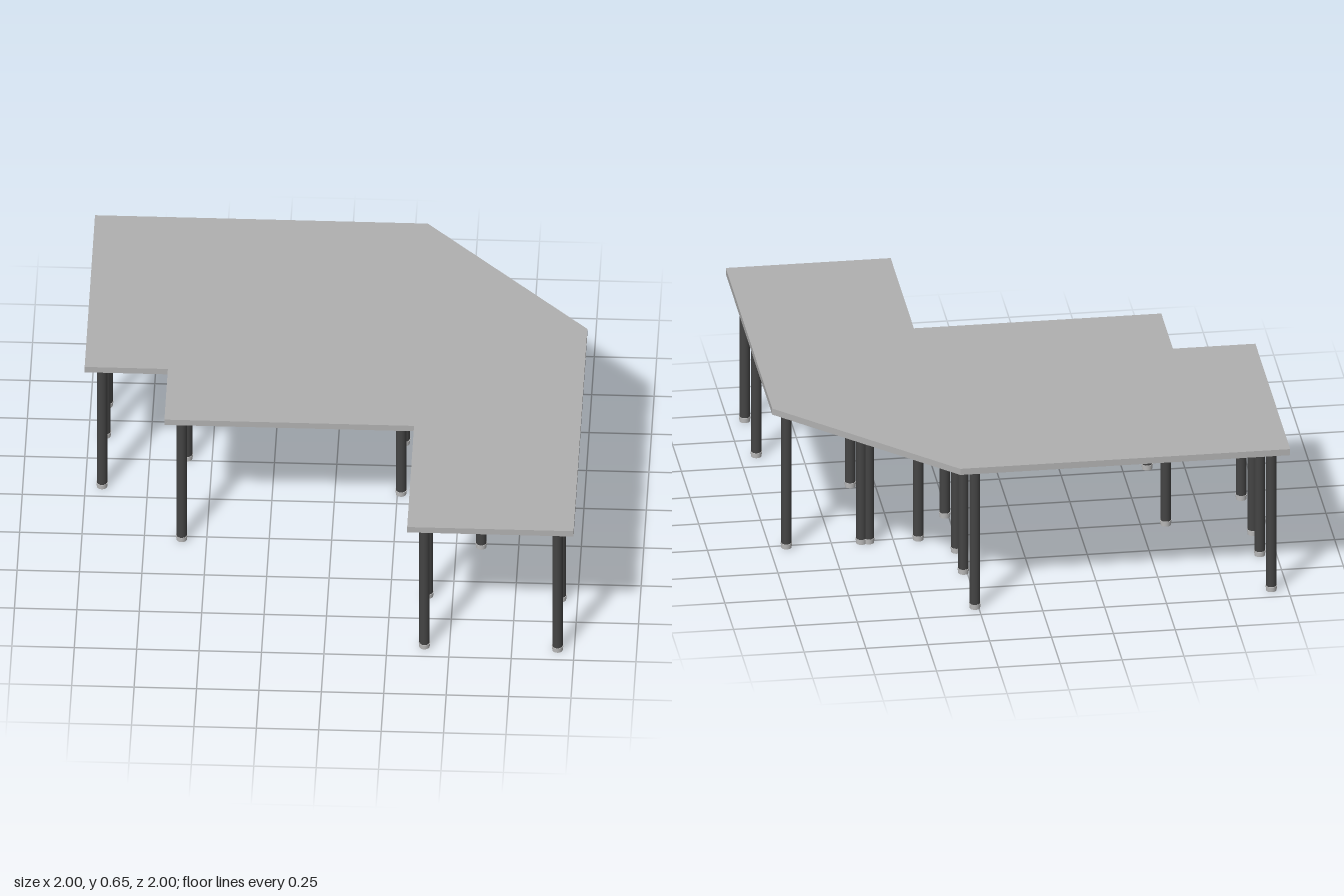
import * as THREE from 'three';

const TOP = 0.65, THICK = 0.027, FOOT = 0.022;

export function createModel() {
  const model = new THREE.Group();
  model.name = 'cornerDesk';
  const topMat = new THREE.MeshStandardMaterial({ color: 0xb0b0b0 });
  topMat.name = 'grey worktop';
  const legMat = new THREE.MeshStandardMaterial({ color: 0x444444 });
  legMat.name = 'dark leg';
  const footMat = new THREE.MeshStandardMaterial({ color: 0xc0c0c0 });
  footMat.name = 'light foot';

  // Worktop outline as [x, z], extruded downwards from the top surface
  const third = 1 / 3;
  const outline = [
    [-1, -1], [third, -1], [1, -third], [1, 1], [third, 1],
    [third, third], [-2 * third, third], [-2 * third, 0], [-1, 0],
  ].map(([x, z]) => new THREE.Vector2(x, z));
  const topGeo = new THREE.ExtrudeGeometry(new THREE.Shape(outline), { depth: THICK, bevelEnabled: false });
  topGeo.rotateX(Math.PI / 2);
  const worktop = new THREE.Mesh(topGeo, topMat);
  worktop.name = 'worktop';
  worktop.position.y = TOP;
  model.add(worktop);

  // Round legs, each standing on a slightly wider foot
  const legHeight = TOP - THICK - FOOT;
  const legGeo = new THREE.CylinderGeometry(0.021, 0.021, legHeight, 24);
  legGeo.translate(0, FOOT + legHeight / 2, 0);
  const footGeo = new THREE.CylinderGeometry(0.0235, 0.021, FOOT, 24);
  footGeo.translate(0, FOOT / 2, 0);

  function addLeg(x, z) {
    const group = new THREE.Group();
    group.name = 'tableLeg';
    const leg = new THREE.Mesh(legGeo, legMat);
    leg.name = 'leg';
    const foot = new THREE.Mesh(footGeo, footMat);
    foot.name = 'foot';
    group.add(leg, foot);
    group.position.set(x, 0, z);
    model.add(group);
  }

  // Legs under the back, middle and side tables
  for (const x of [-0.933, 0.265]) for (const z of [-0.933, -0.6, -0.4, -0.067]) addLeg(x, z);
  for (const x of [-0.6, 0.6]) for (const z of [-0.265, 0.268]) addLeg(x, z);
  for (const x of [0.4, 0.933]) for (const z of [-0.265, 0.6, 0.933]) addLeg(x, z);
  // Extra leg under the angled corner
  addLeg(0.63, -0.265);

  return model;
}
